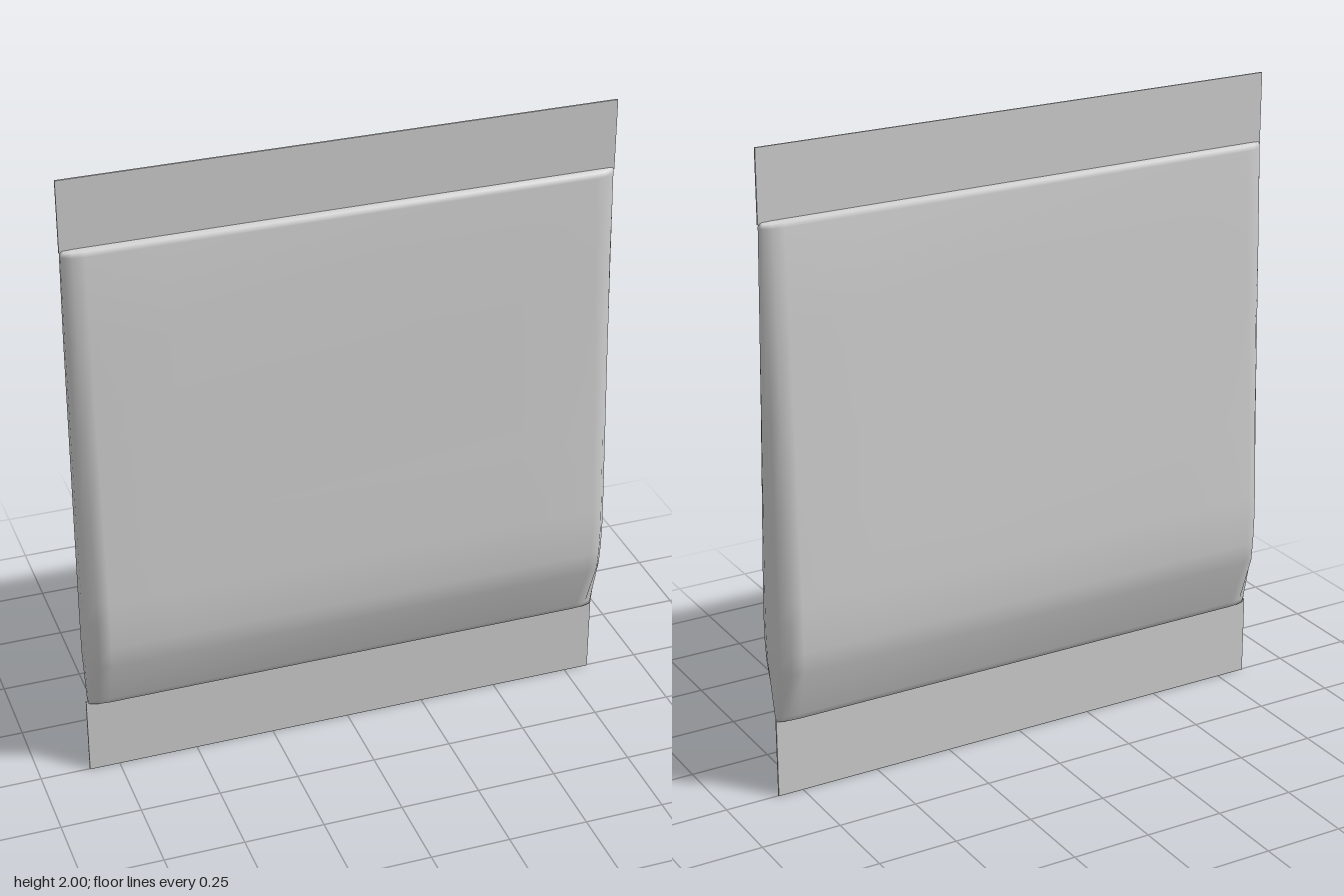
import * as THREE from 'three';

const material = new THREE.MeshStandardMaterial({ color: 0xcccccc });

// Pouch heights: [y, half depth, left-model edge (+x), right-model edge (-x)]
const levels = [
  [0.245, 0, 0.825, -0.835],
  [0.25, 0.02, 0.828, -0.838],
  [0.27, 0.03, 0.83, -0.84],
  [0.43, 0.09, 0.84, -0.845],
  [0.5, 0.097, 0.842, -0.845],
  [0.58, 0.1, 0.842, -0.845],
  [0.66, 0.098, 0.841, -0.845],
  [0.9, 0.083, 0.838, -0.845],
  [1.2, 0.065, 0.834, -0.845],
  [1.5, 0.047, 0.83, -0.845],
  [1.77, 0.03, 0.826, -0.843],
  [1.782, 0.02, 0.826, -0.842],
  [1.788, 0, 0.825, -0.84],
];

// Rounded side of the cross-section: [inset from the edge, share of the depth]
const corner = [[0.3, 1], [0.065, 1], [0.03, 0.85], [0.008, 0.5], [0, 0.2]];

function ring([y, depth, xMax, xMin]) {
  const front = corner.map(([inset, d]) => [inset, d * depth]);
  const side = [...front, ...front.slice().reverse().map(([inset, z]) => [inset, -z])];
  return [
    ...side.map(([inset, z]) => [xMax - inset, y, z]),
    ...side.slice().reverse().map(([inset, z]) => [xMin + inset, y, z]),
  ];
}

function createPouch() {
  const rings = levels.map(ring);
  const n = rings[0].length;
  const index = [];
  for (let i = 0; i < rings.length - 1; i++) {
    for (let j = 0; j < n; j++) {
      const k = (j + 1) % n;
      const a = i * n + j, b = i * n + k, c = b + n, d = a + n;
      index.push(a, b, c, a, c, d);
    }
  }
  const geometry = new THREE.BufferGeometry();
  geometry.setAttribute('position', new THREE.Float32BufferAttribute(rings.flat(2), 3));
  geometry.setIndex(index);
  geometry.computeVertexNormals();
  const mesh = new THREE.Mesh(geometry, material);
  mesh.name = 'pouchBody';
  return mesh;
}

// Thin flat seal strip between two heights
function createSeal(name, bottom, top) {
  const mesh = new THREE.Mesh(new THREE.BoxGeometry(1.675, top - bottom, 0.006), material);
  mesh.position.set(-0.0075, (bottom + top) / 2, 0);
  mesh.name = name;
  return mesh;
}

export function createModel() {
  const group = new THREE.Group();
  group.name = 'sealedPouch';
  group.add(
    createPouch(),
    createSeal('bottomSeal', 0, 0.255),
    createSeal('topSeal', 1.78, 2),
  );
  return group;
}
